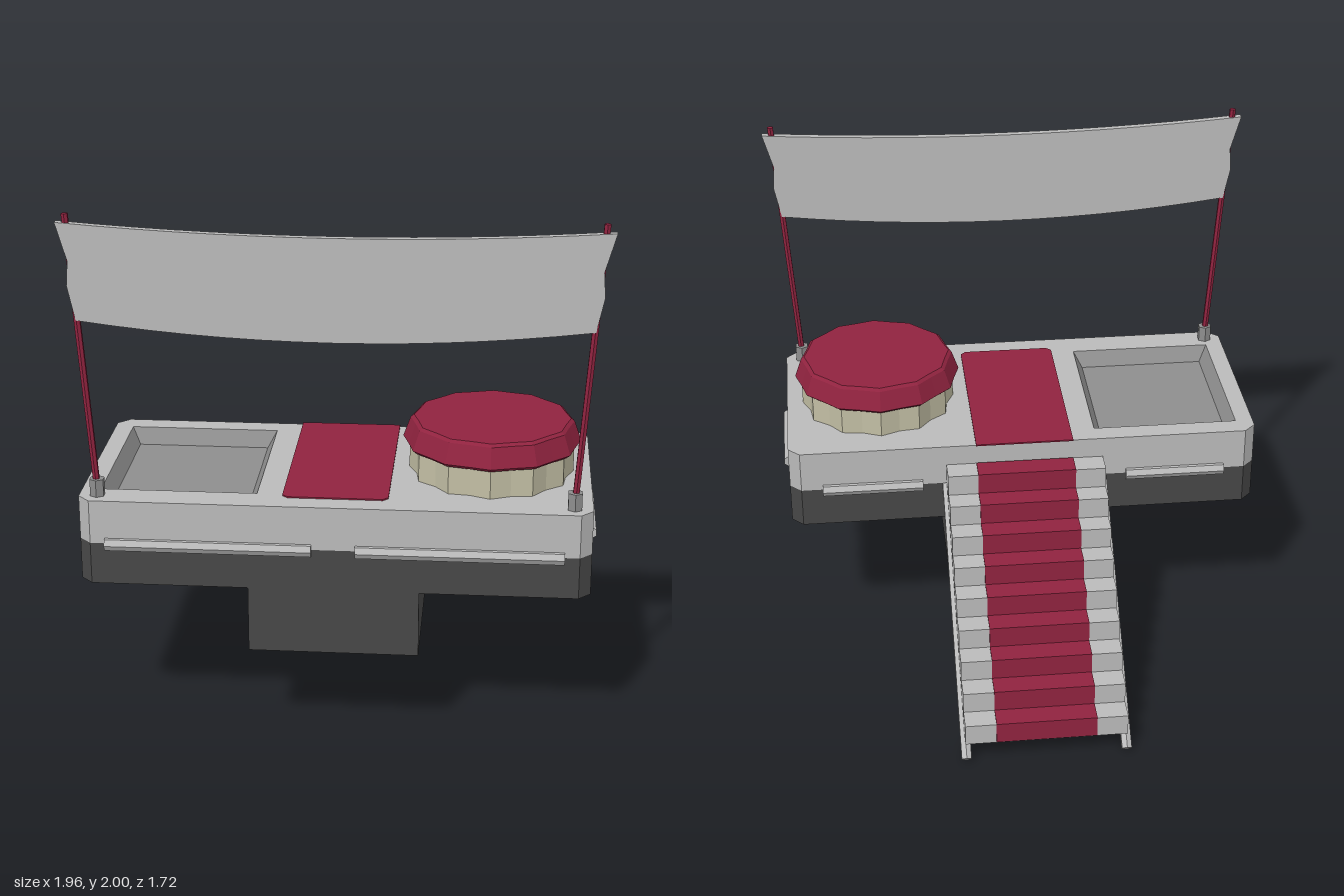
import * as THREE from 'three';

const mat = (name, color, side = THREE.FrontSide) => {
  const m = new THREE.MeshStandardMaterial({ color, flatShading: true, side });
  m.name = name;
  return m;
};

export function createModel() {
  const light = mat('light grey', 0xbababa);
  const dark = mat('dark grey', 0x474747);
  const grey = mat('mid grey', 0x8e8e8e, THREE.DoubleSide);
  const red = mat('crimson', 0x90233f);
  const beige = mat('beige', 0xc2bea4);

  const group = new THREE.Group();
  const add = (name, geometry, material, x = 0, y = 0, z = 0) => {
    const m = new THREE.Mesh(geometry, material);
    m.name = name;
    m.position.set(x, y, z);
    group.add(m);
    return m;
  };
  const toShape = pts => new THREE.Shape(pts.map(p => new THREE.Vector2(...p)));
  // Plan outline in (x, -z), raised upwards by h
  const plan = (shape, h) =>
    new THREE.ExtrudeGeometry(shape, { depth: h, bevelEnabled: false }).rotateX(-Math.PI / 2);
  // Rectangle with cut corners
  const cutRect = (hw, hd, c) => toShape([
    [-hw + c, -hd], [hw - c, -hd], [hw, -hd + c], [hw, hd - c],
    [hw - c, hd], [-hw + c, hd], [-hw, hd - c], [-hw, -hd + c],
  ]);
  // Straight rod between two points
  const rod = (name, a, b, r, sides, material) => {
    const va = new THREE.Vector3(...a), vb = new THREE.Vector3(...b);
    const dir = vb.clone().sub(va);
    const m = add(name, new THREE.CylinderGeometry(r, r, dir.length(), sides), material);
    m.position.copy(va).add(vb).multiplyScalar(0.5);
    m.quaternion.setFromUnitVectors(new THREE.Vector3(0, 1, 0), dir.normalize());
  };

  // Platform: dark hull below, light deck with a basin opening above
  const cz = 0.398;
  add('hull', plan(cutRect(0.94, 0.432, 0.045), 0.16), dark, 0, 0.613, cz);
  const deck = cutRect(0.94, 0.432, 0.045);
  const bx = -0.58, bz = 0.38, bw = 0.29, bd = 0.33;
  const hy = cz - bz;
  deck.holes.push(new THREE.Path([
    [bx - bw, hy - bd], [bx - bw, hy + bd], [bx + bw, hy + bd], [bx + bw, hy - bd],
  ].map(p => new THREE.Vector2(...p))));
  add('deck', plan(deck, 0.167), light, 0, 0.773, cz);

  // Sunken basin with sloping walls
  const walls = new THREE.CylinderGeometry(Math.SQRT2, Math.SQRT2 * 0.88, 0.06, 4, 1, true)
    .rotateY(Math.PI / 4).scale(bw, 1, bd);
  add('basinWalls', walls, grey, bx, 0.91, bz);
  add('basinFloor', new THREE.PlaneGeometry(bw * 1.78, bd * 1.78).rotateX(-Math.PI / 2),
    grey, bx, 0.8805, bz);

  // Six-sided bumper rails around the hull
  const by = 0.772;
  for (const s of [-1, 1]) {
    rod('frontBumper', [s * 0.08, by, 0.832], [s * 0.84, by, 0.832], 0.025, 6, light);
    rod('backBumper', [s * 0.41, by, -0.036], [s * 0.81, by, -0.036], 0.025, 6, light);
    rod('sideBumper', [s * 0.94, by, 0.2], [s * 0.94, by, 0.59], 0.025, 6, light);
  }

  // Staircase
  const rise = 0.0855, run = 0.089, steps = 9;
  const top = i => 0.86 - rise * i;
  const back = i => -0.13 - run * i;
  const side = [
    [0.83, 0.613], [0.83, 0.36], [-0.13, 0.36], [-0.13, 0.275], [-0.23, 0.275],
    [-0.23, 0.18], [-0.32, 0.18], [-0.32, 0.09], [back(steps - 2), 0.09],
  ];
  for (let i = steps - 2; i >= 0; i--) {
    side.push([back(i), top(i) - rise]);
    side.push([i ? back(i - 1) : 0, top(i) - rise]);
  }
  side.push([0, 0.613]);
  add('stairBody', new THREE.ExtrudeGeometry(toShape(side), { depth: 0.63, bevelEnabled: false })
    .rotateY(-Math.PI / 2), dark, 0.315);
  for (let i = 0; i < steps; i++) {
    const y = top(i) - rise / 2, z = back(i) + run / 2;
    add('step', new THREE.BoxGeometry(0.63, rise, run + 0.004), light, 0, y, z);
    add('stairCarpet', new THREE.BoxGeometry(0.39, rise, run + 0.004), red, 0, y + 0.004, z - 0.004);
  }
  for (const s of [-1, 1])
    rod('stairRail', [s * 0.312, 0.765, -0.03], [s * 0.312, 0.018, -0.845], 0.022, 6, light);

  // Carpet over the deck, corners cut at the front
  add('deckCarpet', plan(toShape([
    [-0.195, 0.04], [-0.195, -0.725], [-0.175, -0.745], [0.175, -0.745], [0.195, -0.725], [0.195, 0.04],
  ]), 0.006), red, 0, 0.939, 0);

  // Round stand with fluted sides and a scalloped cap
  const fluted = (profile, depth) => {
    const g = new THREE.LatheGeometry(profile.map(p => new THREE.Vector2(...p)), 24);
    const p = g.attributes.position;
    for (let i = 0; i < p.count; i++) {
      const a = Math.round(Math.atan2(p.getX(i), p.getZ(i)) / (Math.PI / 12));
      const k = a % 2 ? 1 - depth : 1;
      p.setXYZ(i, p.getX(i) * k, p.getY(i), p.getZ(i) * k);
    }
    g.computeVertexNormals();
    return g;
  };
  add('standBody', fluted([[0.31, 0.93], [0.31, 1.07]], 0.07), beige, 0.565, 0, 0.39);
  add('standCap', fluted(
    [[0, 1.055], [0.318, 1.05], [0.335, 1.064], [0.308, 1.14], [0.295, 1.15], [0, 1.15]], 0.04),
    red, 0.565, 0, 0.39);

  // Leaning poles in sockets
  const pz = 0.768;
  for (const s of [-1, 1]) {
    add('poleSocket', new THREE.CylinderGeometry(0.029, 0.029, 0.07, 6), grey, s * 0.872, 0.97, pz);
    rod('pole', [s * 0.872, 0.97, pz], [s * 0.945, 2.0, pz], 0.013, 6, red);
  }

  // Sagging banner with wavy ends
  const banner = new THREE.Shape();
  banner.moveTo(-0.98, 1.97);
  banner.quadraticCurveTo(0, 1.895, 0.98, 1.97);
  [[0.94, 1.83], [0.947, 1.74], [0.92, 1.612]].forEach(p => banner.lineTo(...p));
  banner.quadraticCurveTo(0, 1.49, -0.92, 1.612);
  [[-0.947, 1.74], [-0.94, 1.83]].forEach(p => banner.lineTo(...p));
  add('banner', new THREE.ExtrudeGeometry(banner, { depth: 0.028, bevelEnabled: false, curveSegments: 14 }),
    light, 0, 0, pz - 0.014);

  return group;
}
